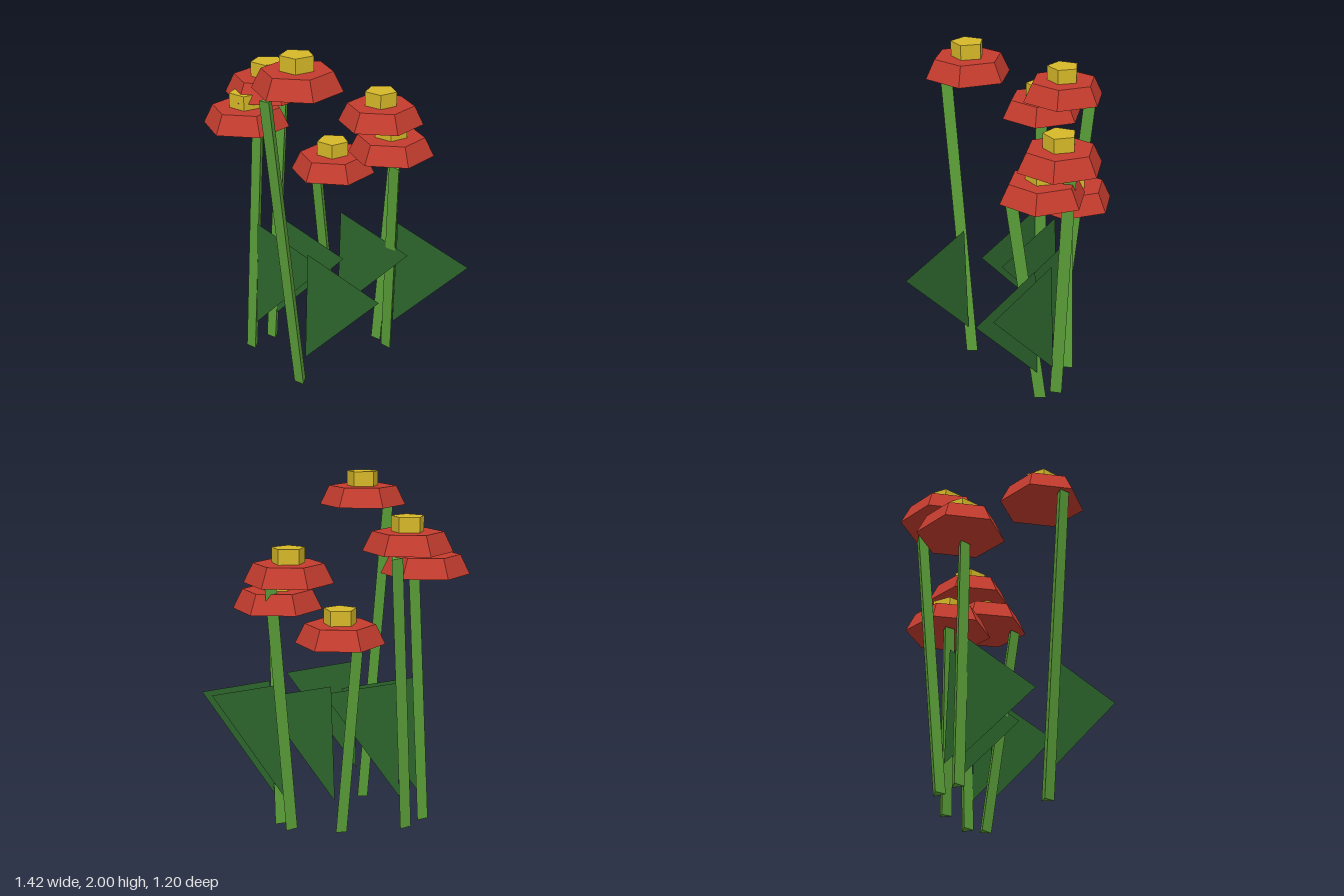
import * as THREE from 'three';

const mat = (color, extra = {}) => new THREE.MeshStandardMaterial({ color, flatShading: true, ...extra });
const UP = new THREE.Vector3(0, 1, 0);

// x, z of the flower, height of the head's underside, and where the leaning stem ends
const FLOWERS = [
  { x: 0.007, z: 0.345, y: 1.805, end: [-0.03, 1.79, 0.55] },
  { x: 0.045, z: -0.35, y: 1.435, end: [0.095, 1.425, -0.463] },
  { x: 0.148, z: -0.315, y: 1.275, end: [0.27, 1.26, -0.2] },
  { x: -0.215, z: -0.23, y: 1.105, end: [-0.275, 1.095, -0.16] },
  { x: -0.48, z: 0.04, y: 1.605, end: [-0.507, 1.59, -0.135] },
  { x: -0.495, z: 0.21, y: 1.46, end: [-0.44, 1.455, 0.165] },
];

// Low-sided cylinder standing on y = 0 with one corner towards -z
function prism(rTop, rBottom, height, sides) {
  return new THREE.CylinderGeometry(rTop, rBottom, height, sides)
    .rotateY(Math.PI).translate(0, height / 2, 0);
}

export function createModel() {
  const model = new THREE.Group();
  model.name = 'flowers';
  const red = mat(0xc43c2e), yellow = mat(0xd6b828), green = mat(0x5a9e38);
  const leafGreen = mat(0x2d662d, { side: THREE.DoubleSide });

  const petalsGeo = prism(0.196, 0.25, 0.11, 6);
  const coreGeo = prism(0.096, 0.096, 0.085, 5);
  // Flat triangular leaf
  const leafGeo = new THREE.ShapeGeometry(new THREE.Shape([
    new THREE.Vector2(0.035, 0.18), new THREE.Vector2(0.56, 0.71), new THREE.Vector2(0.06, 0.85),
  ]));

  for (const { x, z, y, end } of FLOWERS) {
    const flower = new THREE.Group();
    flower.name = 'flower';
    flower.position.set(x, 0, z);
    const add = (name, geo, material, height = 0) => {
      const mesh = new THREE.Mesh(geo, material);
      mesh.name = name;
      mesh.position.y = height;
      flower.add(mesh);
      return mesh;
    };

    // Three-sided stem, leaning from its foot
    const lean = new THREE.Vector3(...end).sub(new THREE.Vector3(x, 0.006, z));
    const stem = add('stem', prism(0.04, 0.04, lean.length(), 3), green, 0.006);
    stem.quaternion.setFromUnitVectors(UP, lean.normalize());

    // Head and leaf
    add('petals', petalsGeo, red, y);
    add('flowerCentre', coreGeo, yellow, y + 0.11);
    add('leaf', leafGeo, leafGreen);
    model.add(flower);
  }
  return model;
}
